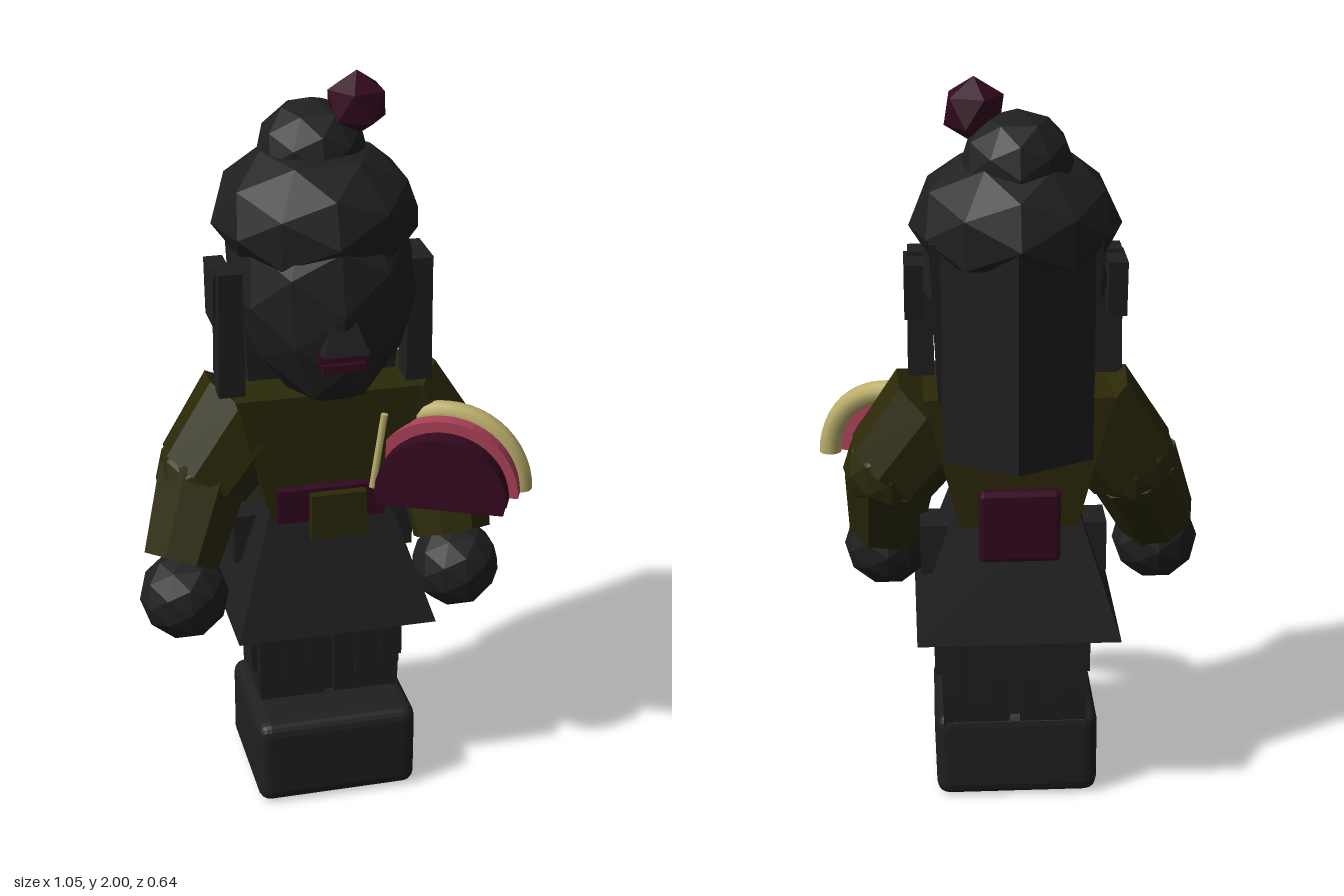
import * as THREE from 'three';
import { RoundedBoxGeometry } from 'three/addons/geometries/RoundedBoxGeometry.js';

const mat = (name, color, flatShading = true) =>
  Object.assign(new THREE.MeshStandardMaterial({ color, flatShading }), { name });

export function createModel() {
  const model = new THREE.Group();
  const charcoal = mat('charcoal', 0x1f1f1f);
  const olive = mat('olive', 0x2b2908);
  const plum = mat('plum', 0x33081f);
  const pink = mat('pink', 0xa94056);
  const cream = mat('cream', 0xbbae6c, false);

  const add = (name, geo, material, x = 0, y = 0, z = 0, parent = model) => {
    const m = new THREE.Mesh(geo, material);
    m.name = name;
    m.position.set(x, y, z);
    parent.add(m);
    return m;
  };
  const box = (w, h, d) => new THREE.BoxGeometry(w, h, d);

  // Box whose top is scaled relative to its base
  const taperedBox = (w, h, d, topX, topZ) => {
    const g = box(w, h, d);
    const p = g.attributes.position;
    for (let i = 0; i < p.count; i++) {
      if (p.getY(i) > 0) { p.setX(i, p.getX(i) * topX); p.setZ(i, p.getZ(i) * topZ); }
    }
    g.computeVertexNormals();
    return g;
  };

  // Faceted tube section between two points
  const limb = (name, a, b, ra, rb, material) => {
    const from = new THREE.Vector3(...a), to = new THREE.Vector3(...b);
    const dir = to.clone().sub(from);
    const m = add(name, new THREE.CylinderGeometry(rb, ra, dir.length(), 8), material);
    m.position.copy(from).add(to).multiplyScalar(0.5);
    m.quaternion.setFromUnitVectors(new THREE.Vector3(0, 1, 0), dir.normalize());
    return m;
  };

  // Boots and legs
  add('boots', new RoundedBoxGeometry(0.445, 0.25, 0.39, 2, 0.035), charcoal, -0.007, 0.125, 0.045);
  add('legCore', box(0.34, 0.4, 0.21), charcoal, 0, 0.38, -0.025);
  for (const s of [-1, 1]) {
    add('leg', taperedBox(0.18, 0.36, 0.24, 1.1, 1.08), charcoal, s * 0.105, 0.4, -0.025);
    add('legCuff', box(0.03, 0.2, 0.12), charcoal, s * 0.2, 0.43, 0.01);
    for (const [k, low] of [[0.04, 0.36], [0.1, 0.3], [0.17, 0.33]]) {
      for (const z of [0.09, -0.145]) {
        add('legWrap', box(0.055, 0.56 - low, 0.03), charcoal, s * k, (0.56 + low) / 2, z);
      }
    }
  }

  // Skirt with side pockets
  add('skirt', taperedBox(0.545, 0.36, 0.48, 0.57, 0.52), charcoal, -0.007, 0.7, -0.01);
  for (const s of [-1, 1]) add('pocket', box(0.08, 0.14, 0.12), charcoal, s * 0.21, 0.73, -0.03);

  // Jacket, belt, buckle and back pouch
  add('jacket', taperedBox(0.31, 0.36, 0.3, 1.6, 1.05), olive, -0.01, 1.01, -0.02);
  add('belt', box(0.29, 0.095, 0.32), plum, -0.01, 0.882, 0);
  add('buckle', box(0.15, 0.13, 0.03), olive, 0.005, 0.855, 0.17);
  add('backPouch', new RoundedBoxGeometry(0.215, 0.2, 0.04, 1, 0.012), plum, -0.01, 0.84, -0.188);

  // Arms and hands
  for (const [s, hx] of [[-1, 0.41], [1, 0.34]]) {
    const elbow = [s * 0.325, 0.935, 0.01];
    limb('upperArm', [s * 0.19, 1.12, -0.01], elbow, 0.15, 0.135, olive);
    add('elbow', new THREE.IcosahedronGeometry(0.13, 1), olive, ...elbow);
    limb('forearm', elbow, [s * hx, 0.73, 0.11], 0.13, 0.108, olive);
    add('hand', new THREE.IcosahedronGeometry(0.12, 1), charcoal, s * hx, 0.652, 0.148);
  }

  // Neck and head, narrowing towards a forward chin
  add('neck', new THREE.CylinderGeometry(0.07, 0.07, 0.14, 8), charcoal, 0, 1.17, 0);
  const headGeo = new THREE.IcosahedronGeometry(1, 1);
  const hp = headGeo.attributes.position;
  for (let i = 0; i < hp.count; i++) {
    const y = hp.getY(i), low = Math.max(0, -y);
    hp.setXYZ(i, hp.getX(i) * 0.255 * (1 - 0.2 * low), y * 0.3, hp.getZ(i) * 0.25 + 0.09 * low * low);
  }
  add('head', headGeo, charcoal, 0, 1.45, 0.01);
  add('skullBack', taperedBox(0.4, 0.43, 0.2, 1.1, 1.15), charcoal, 0, 1.4, -0.09);
  const noseGeo = new THREE.CylinderGeometry(0.025, 0.085, 0.12, 4).rotateY(Math.PI / 4);
  add('nose', noseGeo, charcoal, 0, 1.415, 0.218);
  for (const [y, w, z] of [[1.344, 0.13, 0.24], [1.314, 0.11, 0.238]]) {
    add('lip', box(w, 0.022, 0.045), plum, 0, y, z);
  }

  // Ears, side locks and ridged back hair
  for (const s of [-1, 1]) {
    add('ear', taperedBox(0.05, 0.15, 0.11, 1, 1.25), charcoal, s * 0.265 - 0.008, 1.445, 0);
    add('sideLock', taperedBox(0.07, 0.34, 0.08, 0.9, 1), charcoal, s * 0.25 - 0.01, 1.36, 0.06);
  }
  const hairShape = new THREE.Shape(
    [[-0.2, 0], [0.19, 0], [0.19, 0.03], [0, 0.135], [-0.2, 0.03]].map(([x, z]) => new THREE.Vector2(x, z)));
  const hairGeo = new THREE.ExtrudeGeometry(hairShape, { depth: 0.6, bevelEnabled: false }).rotateX(-Math.PI / 2);
  add('backHair', hairGeo, charcoal, 0, 1.03, -0.175);

  // Knitted cap, crown and pompom
  const capGeo = new THREE.IcosahedronGeometry(0.275, 1);
  const cp = capGeo.attributes.position;
  for (let i = 0; i < cp.count; i++) {
    const y = cp.getY(i);
    cp.setY(i, y < 0 ? Math.max(y, -0.06) : y * 0.78);
  }
  capGeo.computeVertexNormals();
  add('cap', capGeo, charcoal, -0.007, 1.62, -0.04);
  add('capCrown', new THREE.IcosahedronGeometry(0.148, 1), charcoal, -0.01, 1.777, -0.07);
  add('pompom', new THREE.IcosahedronGeometry(0.085, 0).rotateZ(0.5536), plum, 0.098, 1.915, -0.03);

  // Half-round handbag: plum disc, pink band and cream rim
  const bag = new THREE.Group();
  bag.name = 'handbag';
  bag.position.set(0.31, 0.9, 0.135);
  bag.rotation.y = -0.44;
  model.add(bag);
  const half = (r, inner, depth) => {
    const s = new THREE.Shape();
    s.absarc(0, 0, r, 0, Math.PI, false);
    if (inner) s.absarc(0, 0, inner, Math.PI, 0, true);
    s.closePath();
    return new THREE.ExtrudeGeometry(s, { depth, bevelEnabled: false, curveSegments: 12 });
  };
  add('bagDisc', half(0.178, 0, 0.058), plum, 0.003, -0.003, 0.065, bag);
  add('bagBase', box(0.34, 0.03, 0.058), plum, 0.003, -0.013, 0.094, bag);
  add('bagBand', half(0.205, 0.15, 0.05), pink, 0, 0, 0.02, bag);
  add('bagRim', new THREE.TorusGeometry(0.203, 0.031, 10, 24, Math.PI), cream, 0, 0, 0, bag);
  limb('bagStrap', [0.1, 0.92, 0.165], [0.13, 1.13, 0.165], 0.01, 0.01, cream);

  return model;
}
